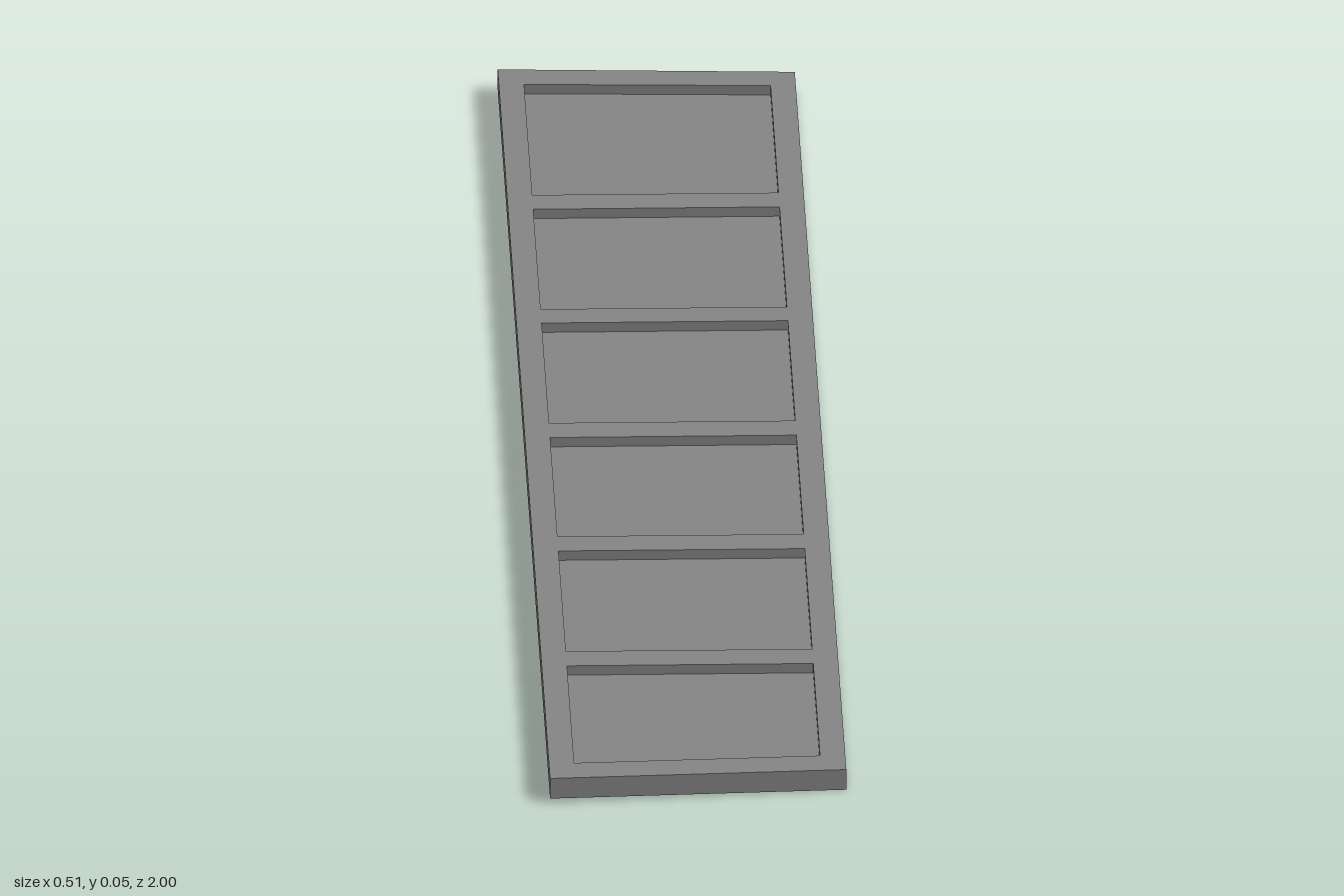
import * as THREE from 'three';

const HALF_W = 0.253, HEIGHT = 0.043, DEPTH = 0.02, TILT = 0.0217;

// Closed outline from [x, z] corners; the shape's y becomes -z once laid flat
const outline = (pts, Type) => new Type(pts.map(([x, z]) => new THREE.Vector2(x, -z)));

// Extrude upwards from y0 to y1, then slope the slab down towards +x
function slopedSlab(shape, y0, y1) {
  const geo = new THREE.ExtrudeGeometry(shape, { depth: y1 - y0, bevelEnabled: false });
  geo.rotateX(-Math.PI / 2);
  geo.translate(0, y0, 0);
  const p = geo.attributes.position;
  for (let i = 0; i < p.count; i++) {
    p.setY(i, p.getY(i) + TILT * (HALF_W - p.getX(i)));
  }
  geo.computeVertexNormals();
  return geo;
}

export function createModel() {
  const group = new THREE.Group();
  group.name = 'panelledBoard';
  const material = new THREE.MeshStandardMaterial({ color: 0x868686, flatShading: true });

  // Board outline, slightly shorter along its low edge
  const board = [[-HALF_W, 1], [HALF_W, 0.983], [HALF_W, -0.985], [-HALF_W, -1]];

  const base = new THREE.Mesh(
    slopedSlab(outline(board, THREE.Shape), 0, HEIGHT - DEPTH), material);
  base.name = 'basePlate';
  group.add(base);

  // Six recesses: z start and end on the high side, then on the low side
  const recesses = [
    [-0.957, -0.645, -0.947, -0.645],
    [-0.605, -0.323], [-0.284, -0.002], [0.039, 0.318], [0.359, 0.642],
    [0.683, 0.957, 0.683, 0.943],
  ];
  const frameShape = outline(board, THREE.Shape);
  const x = 0.21;
  for (const [a, b, c = a, d = b] of recesses) {
    frameShape.holes.push(outline([[-x, a], [x, c], [x, d], [-x, b]], THREE.Path));
  }
  const frame = new THREE.Mesh(slopedSlab(frameShape, HEIGHT - DEPTH, HEIGHT), material);
  frame.name = 'raisedFrame';
  group.add(frame);

  return group;
}
